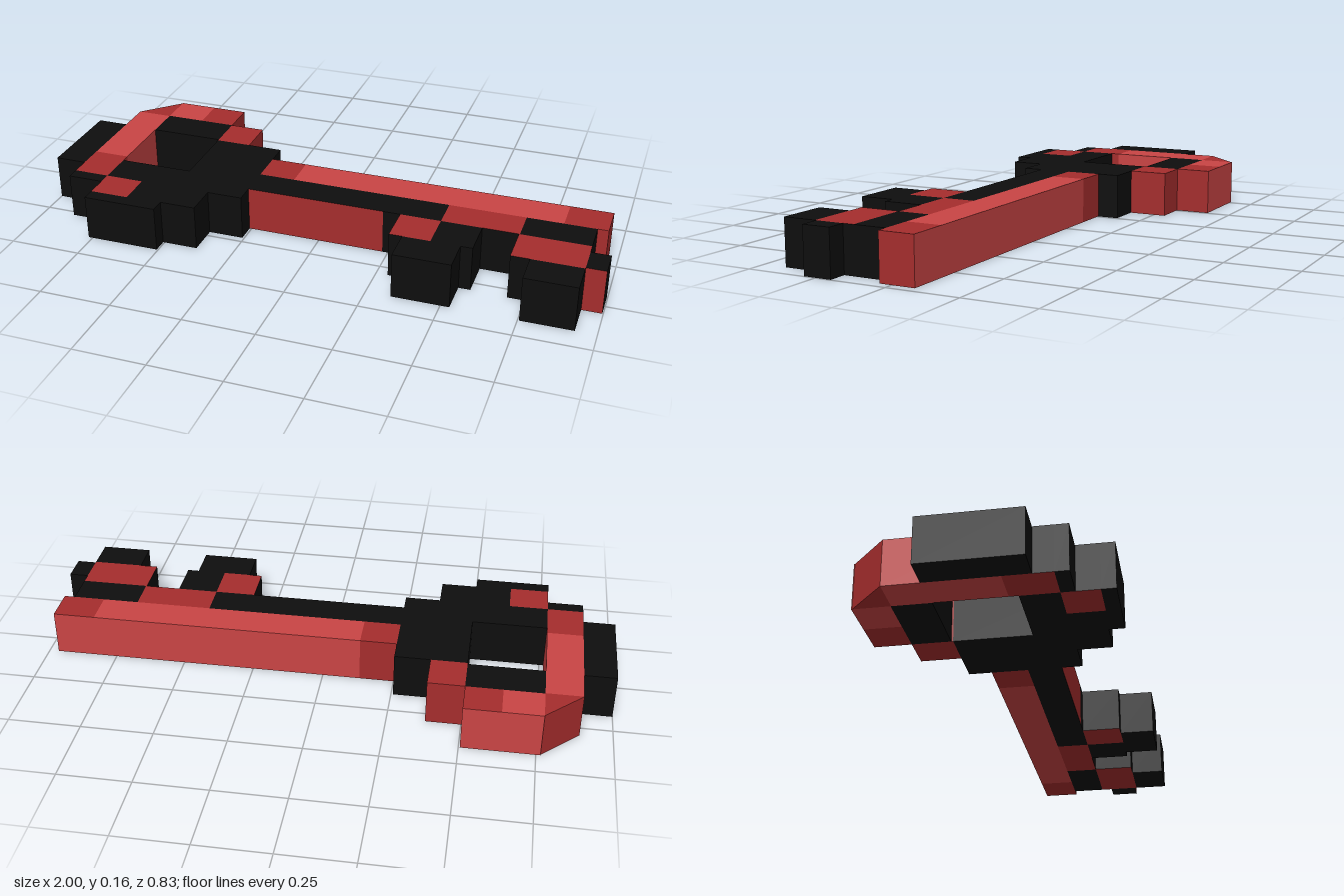
import * as THREE from 'three';

const H = 0.158;

export function createModel() {
  const brightRed = new THREE.MeshStandardMaterial({ name: 'brightRed', color: 0xc94444 });
  const darkRed = new THREE.MeshStandardMaterial({ name: 'darkRed', color: 0xa52d2d });
  const black = new THREE.MeshStandardMaterial({ name: 'black', color: 0x0e0e0e });
  const key = new THREE.Group();
  key.name = 'key';

  // Full-height block from its x and z limits; faces overrides colours by side.
  const sides = ['right', 'left', 'top', 'bottom', 'front', 'back'];
  function block(parent, name, x0, x1, z0, z1, color, faces = {}) {
    const mats = sides.map((s) => faces[s] || color);
    const mesh = new THREE.Mesh(
      new THREE.BoxGeometry(x1 - x0, H, z1 - z0),
      mats.every((m) => m === color) ? color : mats
    );
    mesh.position.set((x0 + x1) / 2, H / 2, (z0 + z1) / 2);
    mesh.name = name;
    parent.add(mesh);
  }
  function section(name) {
    const g = new THREE.Group();
    g.name = name;
    key.add(g);
    return g;
  }
  const redCaps = { top: darkRed, bottom: darkRed };

  // Bow: stepped ring around a square hole
  const bow = section('bow');
  block(bow, 'bowOuterSlab', -1, -0.89, -0.17, 0.16, black);
  block(bow, 'bowLeftBar', -0.89, -0.765, -0.29, 0.07, brightRed);
  block(bow, 'bowLeftBarLower', -0.89, -0.765, 0.07, 0.225, darkRed, { left: black });
  block(bow, 'bowLeftBarEnd', -0.89, -0.765, 0.225, 0.27, black);
  block(bow, 'bowBackBar', -0.765, -0.63, -0.415, -0.292, brightRed);
  block(bow, 'bowBackBarEnd', -0.63, -0.505, -0.415, -0.292, darkRed, { back: brightRed });
  block(bow, 'bowBackInner', -0.765, -0.505, -0.292, -0.163, black);
  block(bow, 'bowBackStep', -0.505, -0.38, -0.292, -0.157, darkRed);
  block(bow, 'bowRightBar', -0.505, -0.257, -0.157, 0.225, black);
  block(bow, 'bowFrontStep', -0.505, -0.38, 0.225, 0.34, black);
  block(bow, 'bowFrontInner', -0.765, -0.505, 0.1, 0.225, black);
  block(bow, 'bowFrontPatch', -0.765, -0.63, 0.225, 0.345, black, redCaps);
  block(bow, 'bowFrontBar', -0.63, -0.505, 0.225, 0.345, black);
  block(bow, 'bowFrontRim', -0.765, -0.505, 0.345, 0.392, black);

  // Chamfered back corner of the bow
  const corner = new THREE.Shape([
    new THREE.Vector2(-0.89, 0.29),
    new THREE.Vector2(-0.765, 0.29),
    new THREE.Vector2(-0.765, 0.412),
  ]);
  const wedge = new THREE.Mesh(
    new THREE.ExtrudeGeometry(corner, { depth: H, bevelEnabled: false }),
    darkRed
  );
  wedge.rotation.x = -Math.PI / 2;
  wedge.name = 'bowCorner';
  bow.add(wedge);

  // Shaft: red spine with a dark strip in front
  const shaft = section('shaft');
  block(shaft, 'spineStart', -0.257, -0.13, -0.08, 0.043, darkRed);
  block(shaft, 'spine', -0.13, 0.82, -0.08, 0.043, brightRed);
  block(shaft, 'spineTip', 0.82, 0.967, -0.08, 0.043, darkRed, { back: brightRed });
  block(shaft, 'stripStart', -0.257, 0.23, 0.043, 0.157, black, { front: darkRed });
  block(shaft, 'stripMiddle', 0.23, 0.43, 0.043, 0.157, black);
  block(shaft, 'stripPatch', 0.43, 0.695, 0.043, 0.157, black, redCaps);
  block(shaft, 'stripEnd', 0.695, 0.93, 0.043, 0.157, black);

  // Teeth
  const teeth = section('teeth');
  block(teeth, 'innerToothRoot', 0.29, 0.43, 0.157, 0.293, black, redCaps);
  block(teeth, 'innerToothSide', 0.43, 0.57, 0.157, 0.293, black);
  block(teeth, 'innerToothTip', 0.335, 0.53, 0.293, 0.413, black);
  block(teeth, 'outerToothRoot', 0.692, 0.93, 0.157, 0.298, black, redCaps);
  block(teeth, 'outerToothSide', 0.93, 0.997, 0.195, 0.293, black, { front: darkRed });
  block(teeth, 'outerToothTip', 0.755, 0.93, 0.298, 0.415, black);

  return key;
}
